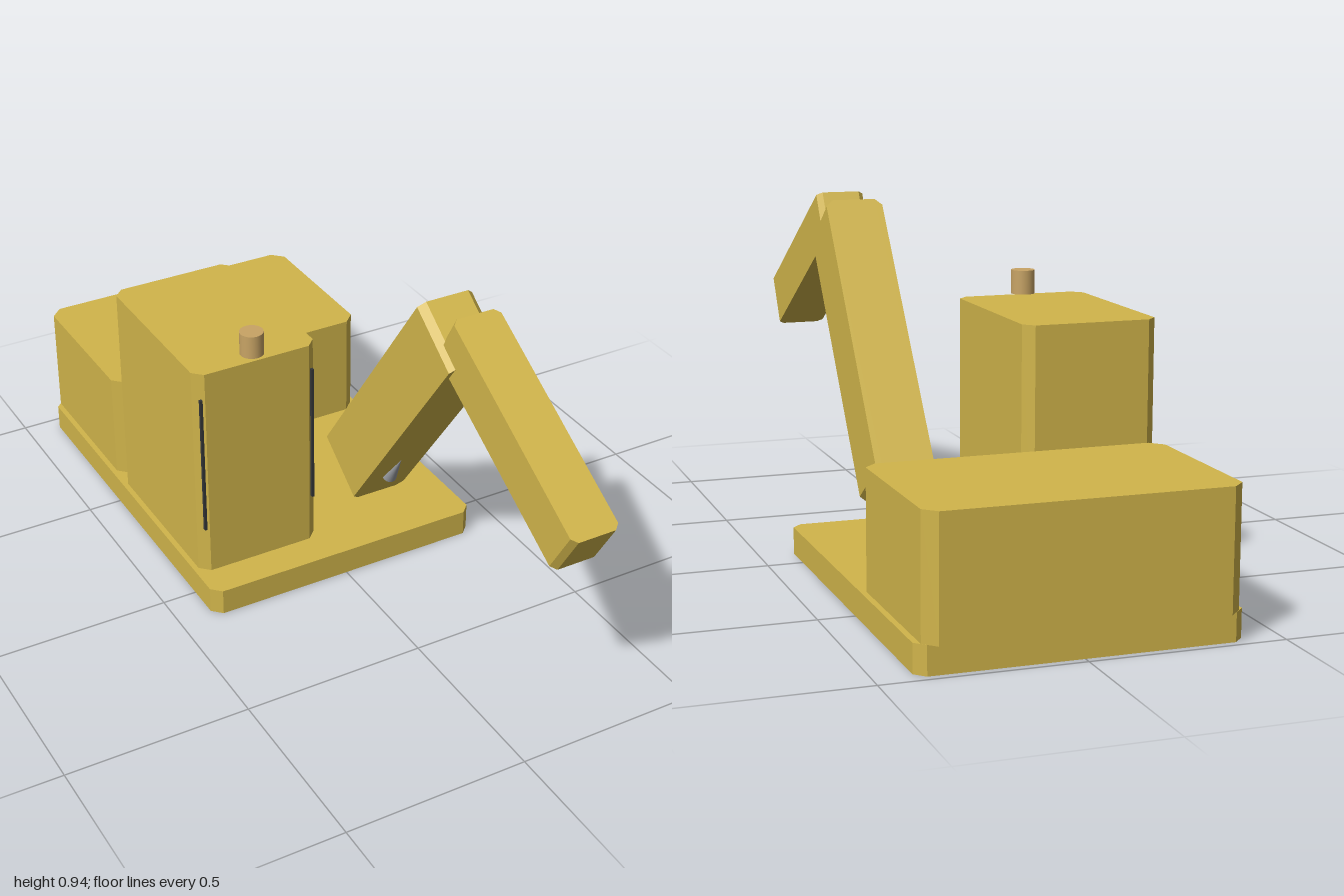
import * as THREE from 'three';

const rad = THREE.MathUtils.degToRad;

// Box with its four vertical edges chamfered, centred on the origin
function chamferedSlab(w, h, d, c) {
  const x = w / 2, z = d / 2;
  const outline = [
    [x, -z + c], [x, z - c], [x - c, z], [-x + c, z],
    [-x, z - c], [-x, -z + c], [-x + c, -z], [x - c, -z],
  ].map(([a, b]) => new THREE.Vector2(a, b));
  const geometry = new THREE.ExtrudeGeometry(new THREE.Shape(outline), { depth: h, bevelEnabled: false });
  return geometry.translate(0, 0, -h / 2).rotateX(-Math.PI / 2);
}

export function createModel() {
  const model = new THREE.Group();
  model.name = 'excavatorUpperBody';

  const material = (name, color) => {
    const m = new THREE.MeshStandardMaterial({ color });
    m.name = name;
    return m;
  };
  const yellow = material('yellow', 0xd1b54b);
  const tan = material('tan', 0xc8a465);
  const grey = material('grey', 0x9a9da2);
  const dark = material('dark', 0x343638);

  const add = (name, geometry, mat, x, y, z, parent = model) => {
    const mesh = new THREE.Mesh(geometry, mat);
    mesh.name = name;
    mesh.position.set(x, y, z);
    parent.add(mesh);
    return mesh;
  };

  // Deck, rear counterweight and cab
  add('deck', chamferedSlab(0.81, 0.073, 1.1, 0.026), yellow, 0, 0.0365, -0.43);
  add('counterweight', chamferedSlab(0.78, 0.307, 0.485, 0.032), yellow, 0, 0.2265, -0.7575);
  add('cab', chamferedSlab(0.355, 0.617, 0.515, 0.026), yellow, -0.2125, 0.3815, -0.2375);

  // Beacon above the cab roof
  add('beacon', new THREE.CylinderGeometry(0.032, 0.032, 0.064, 24), tan, -0.212, 0.729, -0.01);

  // Thin upright rails at the front corners of the cab
  for (const x of [-0.375, -0.05]) {
    add('cabRail', new THREE.BoxGeometry(0.007, 0.405, 0.009), dark, x, 0.4125, 0.0165);
  }

  // Boom, with a tapered ram on its underside
  const boom = add('boom', chamferedSlab(0.16, 0.19, 0.824, 0.019), yellow, 0.161, 0.5385, 0.1675);
  boom.rotation.x = -rad(54.4);
  const ram = add('ram', new THREE.ConeGeometry(0.021, 0.105, 24), grey, 0, -0.095, -0.245, boom);
  ram.rotation.x = Math.PI / 2;

  // Stick reaching forward and down from the boom tip
  const stick = add('stick', chamferedSlab(0.135, 0.143, 0.632, 0.015), yellow, 0.162, 0.7175, 0.6925);
  stick.rotation.x = rad(30.4);

  return model;
}
